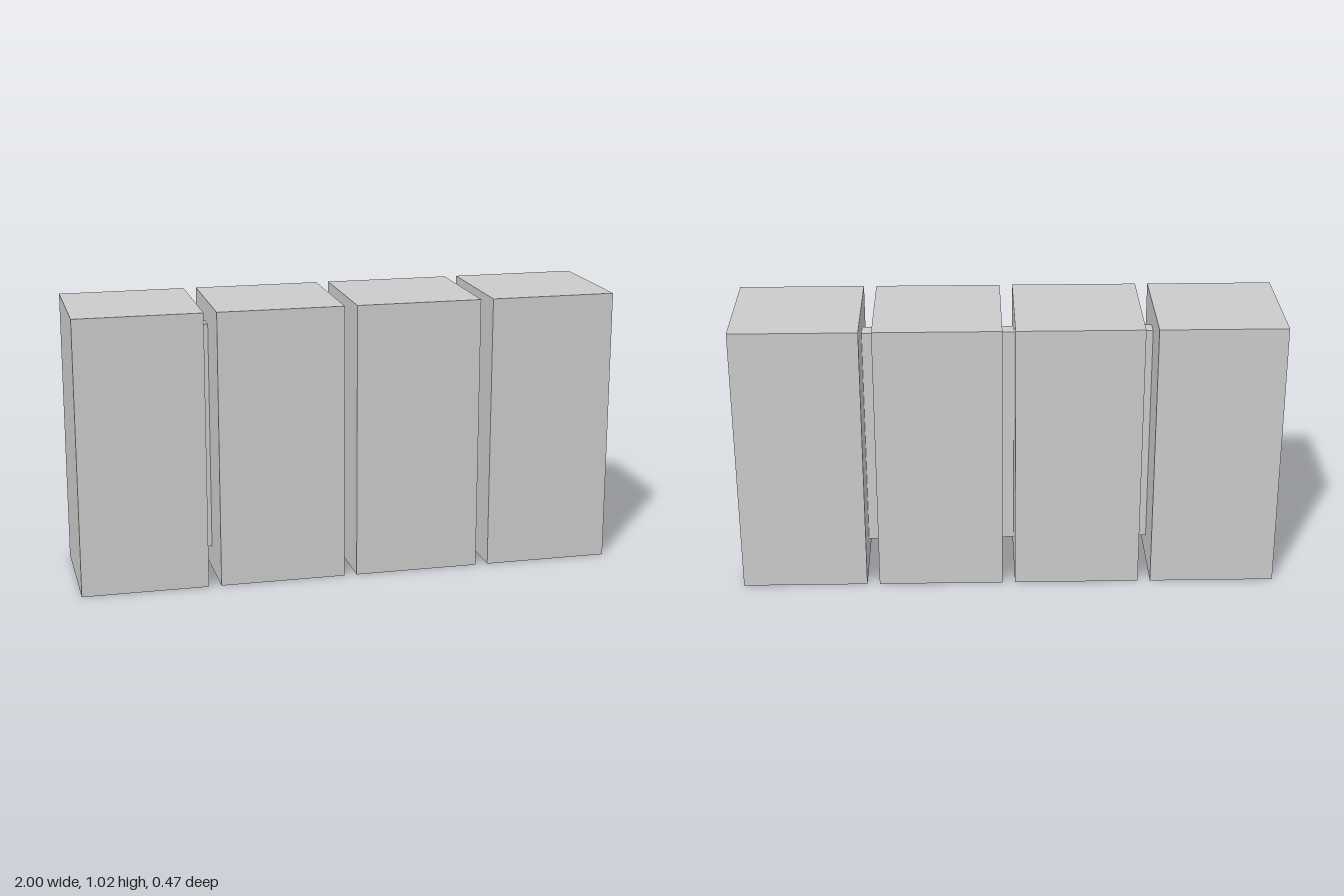
import * as THREE from 'three';

const COUNT = 4;
const SIZE = 0.465; // width and depth of a block
const HEIGHT = 1.025;
const PITCH = (2 - SIZE) / (COUNT - 1); // spacing between block centres

export function createModel() {
  const group = new THREE.Group();
  const material = new THREE.MeshStandardMaterial({ color: 0xcccccc, flatShading: true });

  const addBox = (name, width, height, depth, x) => {
    const mesh = new THREE.Mesh(new THREE.BoxGeometry(width, height, depth), material);
    mesh.name = name;
    mesh.position.set(x, HEIGHT / 2, 0);
    group.add(mesh);
  };

  for (let i = 0; i < COUNT; i++) {
    const x = -1 + SIZE / 2 + i * PITCH;
    // Upright block
    addBox(`block${i + 1}`, SIZE, HEIGHT, SIZE, x);
    // Thin web filling the gap to the next block
    if (i < COUNT - 1) addBox(`connector${i + 1}`, PITCH - SIZE, 0.855, 0.06, x + PITCH / 2);
  }
  return group;
}
